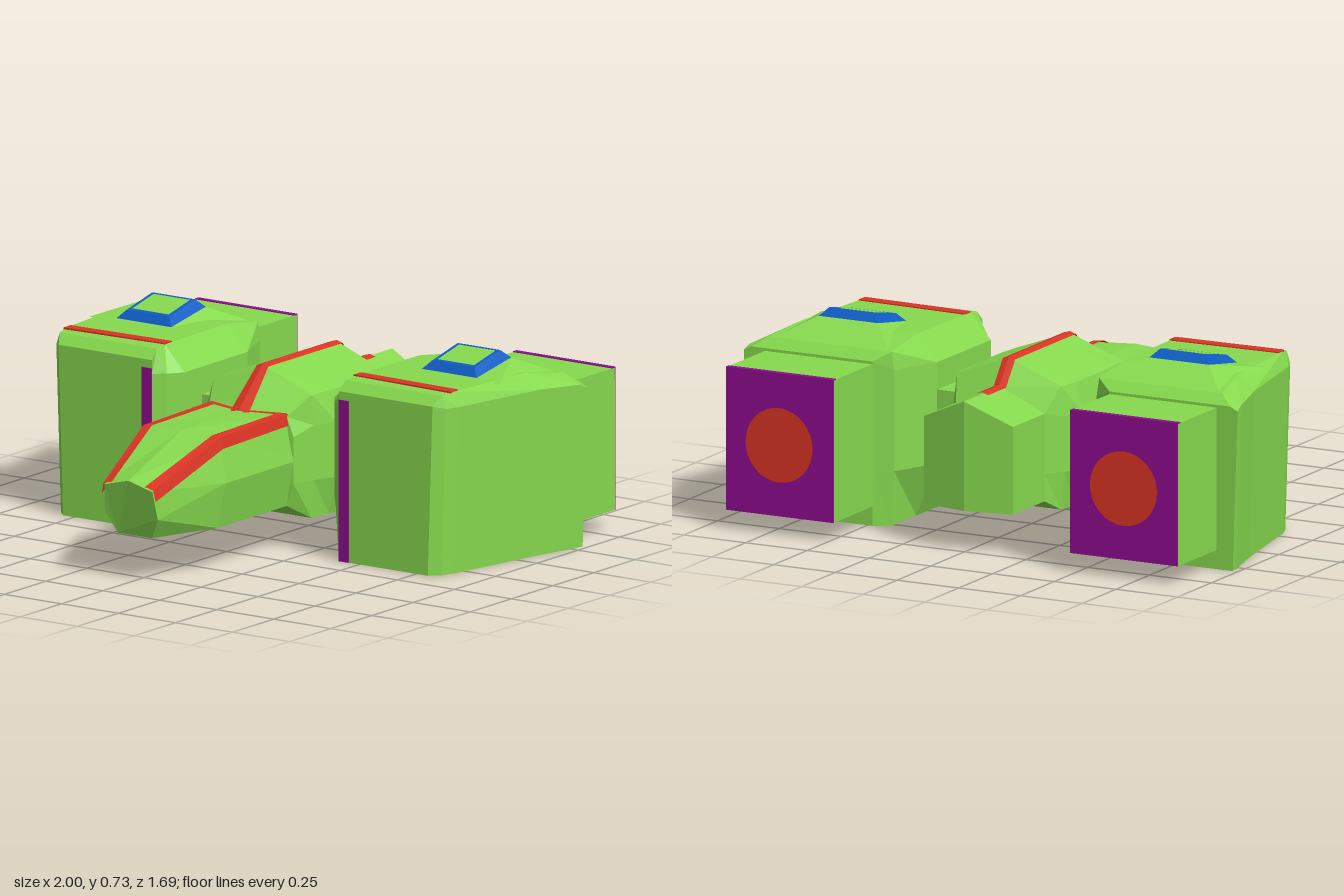
import * as THREE from 'three';

const paint = (name, color) => {
  const m = new THREE.MeshStandardMaterial({ color, flatShading: true, side: THREE.DoubleSide });
  m.name = name;
  return m;
};

// Faceted skin through rows of points; closed rows wrap round, caps fill the first and last row
function skin(rows, closed = false, caps = false) {
  const pos = [];
  const tri = (a, b, c) => pos.push(...a, ...b, ...c);
  const n = rows[0].length;
  for (let i = 0; i + 1 < rows.length; i++) {
    for (let j = 0; j < (closed ? n : n - 1); j++) {
      const k = (j + 1) % n;
      tri(rows[i][j], rows[i][k], rows[i + 1][k]);
      tri(rows[i][j], rows[i + 1][k], rows[i + 1][j]);
    }
  }
  if (caps) {
    const first = rows[0], last = rows[rows.length - 1];
    for (let j = 1; j + 1 < n; j++) {
      tri(first[0], first[j + 1], first[j]);
      tri(last[0], last[j], last[j + 1]);
    }
  }
  const g = new THREE.BufferGeometry();
  g.setAttribute('position', new THREE.Float32BufferAttribute(pos, 3));
  g.computeVertexNormals();
  return g;
}

function add(parent, name, geometry, material, x = 0, y = 0, z = 0) {
  const mesh = new THREE.Mesh(geometry, material);
  mesh.name = name;
  mesh.position.set(x, y, z);
  parent.add(mesh);
  return mesh;
}

const box = (w, h, d) => new THREE.BoxGeometry(w, h, d);

export function createModel() {
  const green = paint('hull green', 0x86d94e);
  const red = paint('stripe red', 0xdc3424);
  const blue = paint('hatch blue', 0x0f5cc4);
  const purple = paint('panel purple', 0x900c90);
  const model = new THREE.Group();
  model.name = 'spacecraft';

  // Central hull: ten-sided sections with a ridged roof, back to front
  const hullRow = ([z, a, b, yb, y1, y2, ys, yt, dz]) => {
    const side = [[a, yb], [b, y1], [b, y2], [a, ys]];
    return [
      [0, yb, z + dz],
      ...side.map(([x, y]) => [x, y, z]),
      [0, yt, z + dz],
      ...side.reverse().map(([x, y]) => [-x, y, z]),
    ];
  };
  add(model, 'hull', skin([
    [-0.72, 0.18, 0.18, 0.15, 0.25, 0.40, 0.47, 0.55, -0.035],
    [-0.485, 0.18, 0.18, 0.15, 0.25, 0.40, 0.47, 0.55, 0],
    [-0.42, 0.21, 0.225, 0.11, 0.25, 0.45, 0.56, 0.64, 0],
    [-0.34, 0.225, 0.26, 0.11, 0.25, 0.45, 0.56, 0.64, 0],
    [-0.06, 0.225, 0.26, 0.11, 0.25, 0.45, 0.56, 0.64, 0],
    [0.03, 0.215, 0.225, 0.11, 0.25, 0.45, 0.56, 0.64, 0],
    [0.12, 0.17, 0.2, 0.165, 0.25, 0.42, 0.49, 0.50, 0.045],
  ].map(hullRow), true, true), green);

  // Red stripe along the roof ridge
  add(model, 'ridgeStripe', skin([
    [0.175, 0.503, 0.04], [0.03, 0.645, 0.025], [-0.42, 0.645, 0.025],
    [-0.488, 0.556, 0.025], [-0.62, 0.556, 0.025],
  ].map(([z, y, w]) => [[-w, y - 0.32 * w, z], [0, y, z], [w, y - 0.32 * w, z]])), red);

  // Nose: wedge that tapers and droops at the tip
  const nose = [
    { z: 0.08, zb: 0.08, b: 0.17, m: 0.2, ym: 0.33, t: 0.165, yt: 0.495, yc: 0.497 },
    { z: 0.52, zb: 0.54, b: 0.17, m: 0.2, ym: 0.33, t: 0.165, yt: 0.485, yc: 0.497 },
    { z: 0.845, zb: 0.805, b: 0.075, m: 0.115, ym: 0.24, t: 0.105, yt: 0.345, yc: 0.372 },
  ];
  add(model, 'nose', skin(nose.map((s) => [
    [-s.b, 0.165, s.zb], [s.b, 0.165, s.zb], [s.m, s.ym, (s.z + s.zb) / 2], [s.t, s.yt, s.z],
    [0, s.yc, s.z], [-s.t, s.yt, s.z], [-s.m, s.ym, (s.z + s.zb) / 2],
  ]), true, true), green);

  // Red edging on both upper corners of the nose, joined by a chevron
  for (const k of [1, -1]) {
    add(model, 'noseEdge', skin(nose.map((s) => [
      [k * (s.t - 0.033), s.yt + 0.005 + (s.yc - s.yt) * 0.33, s.z],
      [k * (s.t + 0.004), s.yt + 0.005, s.z],
      [k * (s.t + 0.013), s.yt - 0.035, s.z - 0.003],
    ])), red);
    add(model, 'noseChevron', skin([
      [[0, 0.502, 0.15], [0, 0.502, 0.185]],
      [[k * 0.165, 0.501, 0.1], [k * 0.165, 0.501, 0.14]],
    ]), red);
  }

  // Engine pod, built on the left and mirrored
  const podRow = ([z, xb, xm, xo, ys, xt, yt]) => [
    [xb, 0, z], [xo - 0.02, 0, z], [xo, ys, z], [xt, yt, z],
    [xb, yt, z], [xm, Math.min(0.57, yt), z], [xm, 0.2, z],
  ];
  const square = (w, z0, z1, y0, y1) => [
    [0.67 - w, y0, z0], [0.67 + w, y0, z0], [0.67 + w, y1, z1], [0.67 - w, y1, z1],
  ];
  const makePod = (name) => {
    const pod = new THREE.Group();
    pod.name = name;
    add(pod, 'podBody', skin([
      [-0.555, 0.48, 0.48, 1.0, 0.585, 0.97, 0.60],
      [-0.52, 0.42, 0.41, 0.995, 0.60, 0.92, 0.635],
      [-0.34, 0.42, 0.335, 0.95, 0.61, 0.88, 0.662],
      [0.05, 0.415, 0.33, 0.875, 0.61, 0.85, 0.662],
      [0.10, 0.415, 0.37, 0.855, 0.61, 0.84, 0.655],
      [0.135, 0.41, 0.41, 0.82, 0.60, 0.82, 0.62],
    ].map(podRow), true, true), green);
    add(pod, 'strut', box(0.12, 0.275, 0.28), green, 0.295, 0.3325, -0.2);

    // Rear engine block with its purple end and red exhaust
    add(pod, 'engineBlock', box(0.435, 0.52, 0.32), green, 0.6975, 0.33, -0.68);
    add(pod, 'enginePlate', box(0.435, 0.52, 0.006), purple, 0.6975, 0.33, -0.842);
    add(pod, 'engineTrim', box(0.435, 0.004, 0.022), purple, 0.6975, 0.591, -0.834);
    add(pod, 'exhaust', new THREE.CircleGeometry(0.136, 32), red, 0.6975, 0.33, -0.848).rotation.y = Math.PI;

    // Raised roof with a tilted hatch
    const base = square(0.12, -0.175, -0.385, 0.662, 0.697);
    const rim = square(0.093, -0.2, -0.355, 0.692, 0.726);
    const pane = square(0.08, -0.215, -0.345, 0.6955, 0.724);
    add(pod, 'roofRise', skin([square(0.23, -0.16, -0.51, 0.655, 0.635), base], true), green);
    add(pod, 'hatchFrame', skin([base, rim, pane], true), blue);
    add(pod, 'hatchPane', skin([[pane[0], pane[1]], [pane[3], pane[2]]]), green);

    // Painted roof stripe and front strip
    add(pod, 'roofStripe', box(0.435, 0.008, 0.045), red, 0.632, 0.662, 0.037).rotation.y = -0.03;
    add(pod, 'frontStrip', box(0.043, 0.59, 0.006), purple, 0.4325, 0.295, 0.136);
    return pod;
  };
  model.add(makePod('leftPod'));
  const rightPod = makePod('rightPod');
  rightPod.scale.x = -1;
  model.add(rightPod);

  return model;
}
